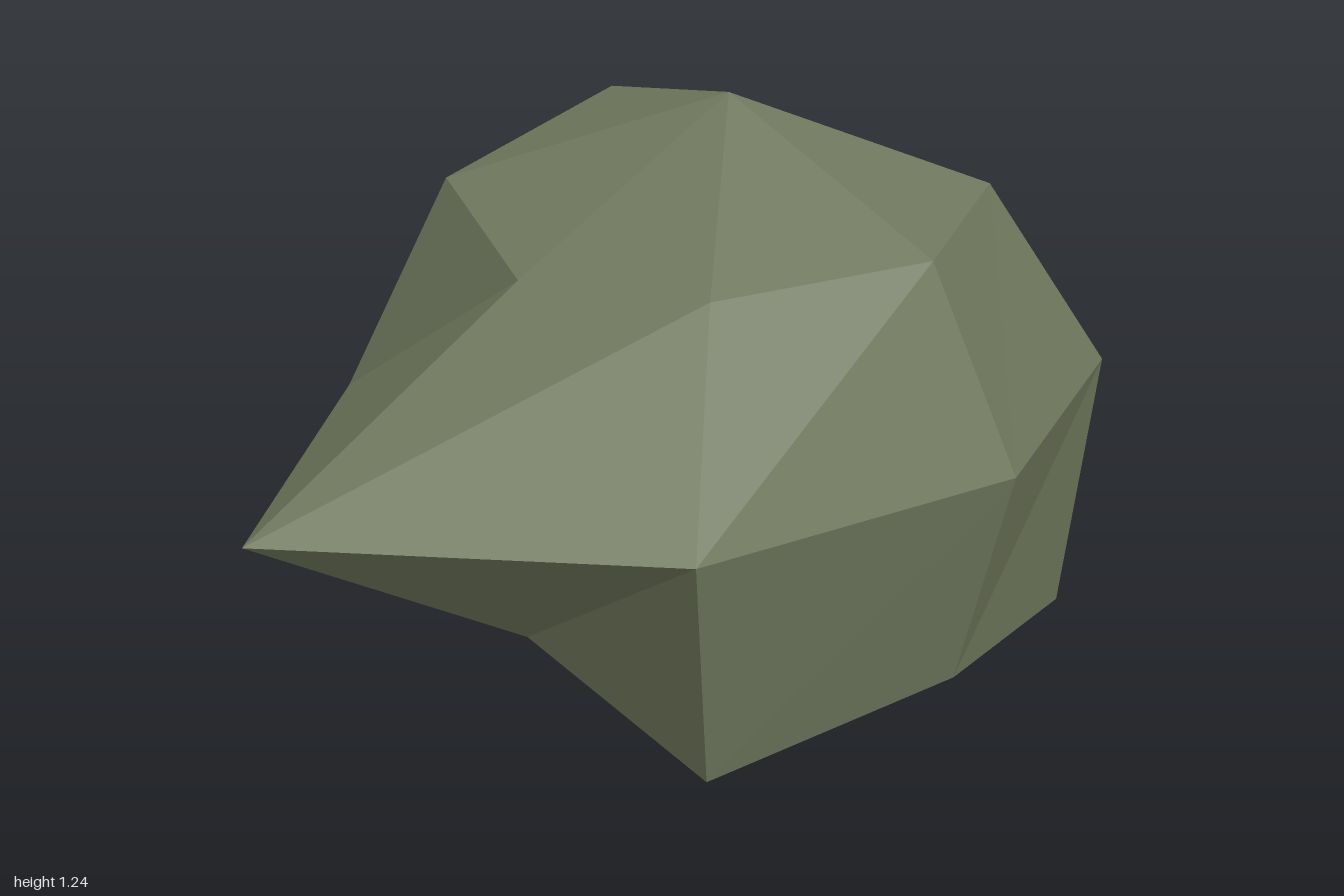
import * as THREE from 'three';

// Horizontal rings of corners, each running left edge -> front -> right -> back
const top = [0.1, 1.24, -0.02];
const bottom = [0.1, 0, -0.02];
const upperRing = [
  [-0.4, 0.97, -0.05], [-0.25, 0.98, 0.3], [0.19, 0.99, 0.43], [0.6, 1.01, 0.21],
  [0.64, 1.015, -0.2], [0.31, 1.11, -0.597], [-0.25, 1.05, -0.45],
];
const middleRing = [
  [-1, 0.61, -0.085], [-0.485, 0.61, 0.515], [0.22, 0.61, 0.625], [0.84, 0.61, 0.33],
  [1, 0.61, -0.32], [0.32, 0.61, -0.592], [-0.39, 0.61, -0.612],
];
const lowerRing = [
  [-0.4, 0.25, -0.05], [-0.37, 0.115, 0.42], [0.2, 0.163, 0.51], [0.77, 0.073, 0.3],
  [0.67, 0.175, -0.21], [0.32, 0.078, -0.625], [-0.2, 0.23, -0.39],
];

export function createModel() {
  const group = new THREE.Group();
  group.name = 'rock';

  const positions = [];
  const triangle = (a, b, c) => positions.push(...a, ...b, ...c);
  const sides = middleRing.length;

  for (let i = 0; i < sides; i++) {
    const j = (i + 1) % sides;
    // Bottom and top fans
    triangle(bottom, lowerRing[j], lowerRing[i]);
    triangle(upperRing[i], upperRing[j], top);
    // Side bands
    for (const [low, high] of [[lowerRing, middleRing], [middleRing, upperRing]]) {
      triangle(low[i], low[j], high[j]);
      triangle(low[i], high[j], high[i]);
    }
  }

  const geometry = new THREE.BufferGeometry();
  geometry.setAttribute('position', new THREE.Float32BufferAttribute(positions, 3));
  geometry.computeVertexNormals(); // unshared corners give flat facets

  const mossyStone = new THREE.MeshStandardMaterial({ color: 0x6e775c, flatShading: true });
  mossyStone.name = 'mossy stone';

  const boulder = new THREE.Mesh(geometry, mossyStone);
  boulder.name = 'boulder';
  group.add(boulder);
  return group;
}
